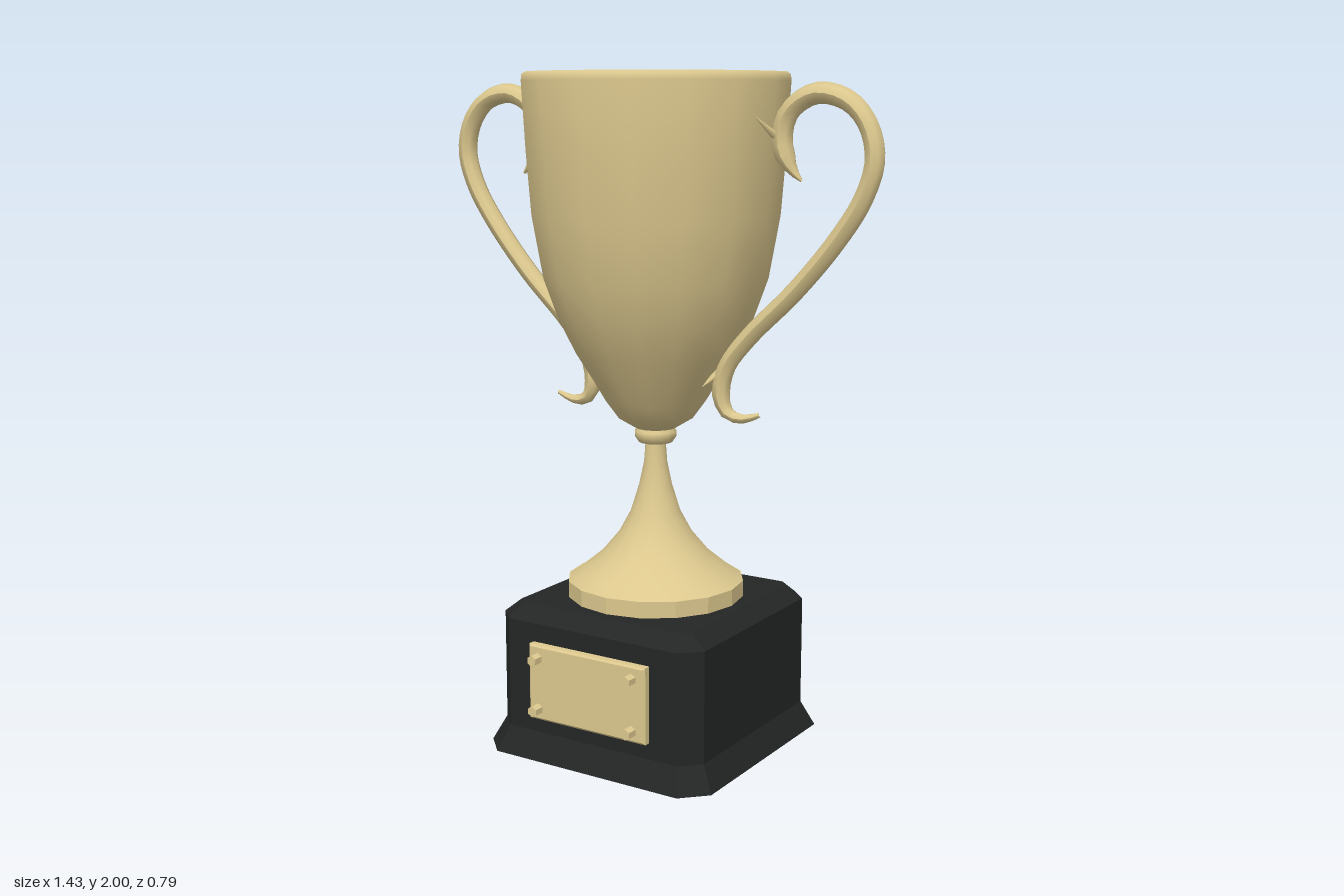
import * as THREE from 'three';
import { toCreasedNormals } from 'three/addons/utils/BufferGeometryUtils.js';

const gold = new THREE.MeshStandardMaterial({ color: 0xdcc88e });
const goldFlat = new THREE.MeshStandardMaterial({ color: 0xdcc88e, flatShading: true });
const black = new THREE.MeshStandardMaterial({ color: 0x242626, flatShading: true });
const V = (x, y, z = 0) => new THREE.Vector3(x, y, z);

function add(parent, name, geometry, material, x = 0, y = 0, z = 0) {
  const mesh = new THREE.Mesh(geometry, material);
  mesh.name = name;
  mesh.position.set(x, y, z);
  parent.add(mesh);
  return mesh;
}

// Turned part from [radius, height] pairs
function turned(profile, crease = 0.9) {
  const pts = profile.map(([r, y]) => new THREE.Vector2(r, y));
  return toCreasedNormals(new THREE.LatheGeometry(pts, 16), crease);
}

// Square block with cut corners, lofted through [half width, corner cut, height] sections
function cutCornerLoft(sections) {
  const rings = sections.map(([h, c, y]) => {
    const k = h - c;
    return [[h, -k], [h, k], [k, h], [-k, h], [-h, k], [-h, -k], [-k, -h], [k, -h]]
      .map(([x, d]) => V(x, y, -d));
  });
  const tris = [];
  const first = rings[0], last = rings[rings.length - 1];
  for (let i = 0; i < 8; i++) {
    const j = (i + 1) % 8;
    for (let s = 0; s < rings.length - 1; s++) {
      const a = rings[s][i], b = rings[s][j], c = rings[s + 1][j], d = rings[s + 1][i];
      tris.push(a, b, c, a, c, d);
    }
    tris.push(V(0, last[0].y), last[i], last[j]);
    tris.push(V(0, first[0].y), first[j], first[i]);
  }
  const geometry = new THREE.BufferGeometry().setFromPoints(tris);
  geometry.computeVertexNormals();
  return geometry;
}

// Scrolled tube whose ends taper to points
function taperedTube(points, radius) {
  const curve = new THREE.CatmullRomCurve3(points, false, 'centripetal');
  const segments = 56, sides = 8;
  const geometry = new THREE.TubeGeometry(curve, segments, radius, sides);
  const pos = geometry.attributes.position;
  for (let i = 0; i < pos.count; i++) {
    const t = Math.floor(i / (sides + 1)) / segments;
    const scale = Math.min(1, 0.12 + t * 16, 0.25 + (1 - t) * 7) * (1 - 0.12 * t);
    const centre = curve.getPointAt(t);
    const p = V(0, 0).fromBufferAttribute(pos, i).sub(centre).multiplyScalar(scale).add(centre);
    pos.setXYZ(i, p.x, p.y, p.z);
  }
  geometry.computeVertexNormals();
  return geometry;
}

// Slim thorn running between two points
function thorn(parent, name, from, to, radius) {
  const dir = to.clone().sub(from);
  const mid = from.clone().add(to).multiplyScalar(0.5);
  const mesh = add(parent, name, new THREE.ConeGeometry(radius, dir.length(), 6), gold, mid.x, mid.y, mid.z);
  mesh.quaternion.setFromUnitVectors(V(0, 1), dir.normalize());
}

export function createModel() {
  const root = new THREE.Group();
  root.name = 'trophy';
  const body = new THREE.Group();
  body.name = 'trophyBody';
  body.position.z = -0.007;
  root.add(body);

  // Plinth with flared skirt and bevelled top
  add(body, 'plinth', cutCornerLoft([
    [0.31, 0.015, 0], [0.383, 0.07, 0.025], [0.345, 0.055, 0.1],
    [0.345, 0.055, 0.43], [0.297, 0.025, 0.47],
  ]), black);

  // Foot band and flared stem
  add(body, 'footBand', new THREE.CylinderGeometry(0.264, 0.264, 0.05, 16), goldFlat, 0, 0.493);
  add(body, 'stem', turned([
    [0.264, 0.516], [0.215, 0.55], [0.16, 0.595], [0.11, 0.655], [0.075, 0.72],
    [0.05, 0.8], [0.035, 0.87], [0.029, 0.95],
  ]), gold);
  add(body, 'collar', turned([
    [0.028, 0.93], [0.05, 0.932], [0.062, 0.95], [0.062, 0.965], [0.045, 0.985],
  ], 1.2), gold);

  // Cup: outside, rolled rim, then inside down to the bottom
  add(body, 'cup', turned([
    [0, 0.97], [0.06, 0.975], [0.11, 1.005], [0.15, 1.06], [0.185, 1.12], [0.235, 1.2],
    [0.285, 1.3], [0.328, 1.42], [0.36, 1.6], [0.374, 1.78], [0.385, 1.975],
    [0.383, 1.992], [0.372, 2], [0.36, 2], [0.351, 1.985],
    [0.342, 1.78], [0.33, 1.6], [0.298, 1.42], [0.255, 1.3], [0.205, 1.2],
    [0.14, 1.1], [0.08, 1.04], [0, 1.015],
  ], 1.2), gold);

  // Scrolled handles with small thorns where they meet the cup
  const path = [
    [0.47, 1.705], [0.432, 1.745], [0.408, 1.81], [0.428, 1.89], [0.51, 1.94],
    [0.605, 1.92], [0.665, 1.855], [0.685, 1.765], [0.655, 1.665], [0.58, 1.55],
    [0.455, 1.405], [0.31, 1.265], [0.24, 1.175], [0.222, 1.09], [0.245, 1.04],
    [0.295, 1.03], [0.35, 1.047],
  ];
  for (const side of [1, -1]) {
    const handle = new THREE.Group();
    handle.name = side > 0 ? 'leftHandle' : 'rightHandle';
    body.add(handle);
    add(handle, 'handleScroll', taperedTube(path.map(([x, y]) => V(side * x, y)), 0.03), gold);
    for (const z of [1, -1]) {
      thorn(handle, 'upperThorn', V(side * 0.4, 1.815), V(side * 0.37, 1.885, z * 0.1), 0.014);
      thorn(handle, 'lowerThorn', V(side * 0.215, 1.16), V(side * 0.19, 1.12, z * 0.055), 0.014);
    }
  }

  // Bevelled plaque held by four hexagonal screws
  const plate = new THREE.Shape([[-0.194, -0.107], [0.194, -0.107], [0.194, 0.107], [-0.194, 0.107]]
    .map(([x, y]) => new THREE.Vector2(x, y)));
  add(root, 'plaque', new THREE.ExtrudeGeometry(plate, {
    depth: 0.02, bevelSize: 0.006, bevelThickness: 0.005, bevelSegments: 1,
  }), goldFlat, 0, 0.263, 0.34);
  for (const x of [-0.168, 0.155]) {
    for (const y of [0.183, 0.337]) {
      const screw = add(root, 'screw', new THREE.CylinderGeometry(0.016, 0.018, 0.04, 6), goldFlat, x, y, 0.375);
      screw.rotation.x = Math.PI / 2;
    }
  }
  return root;
}
